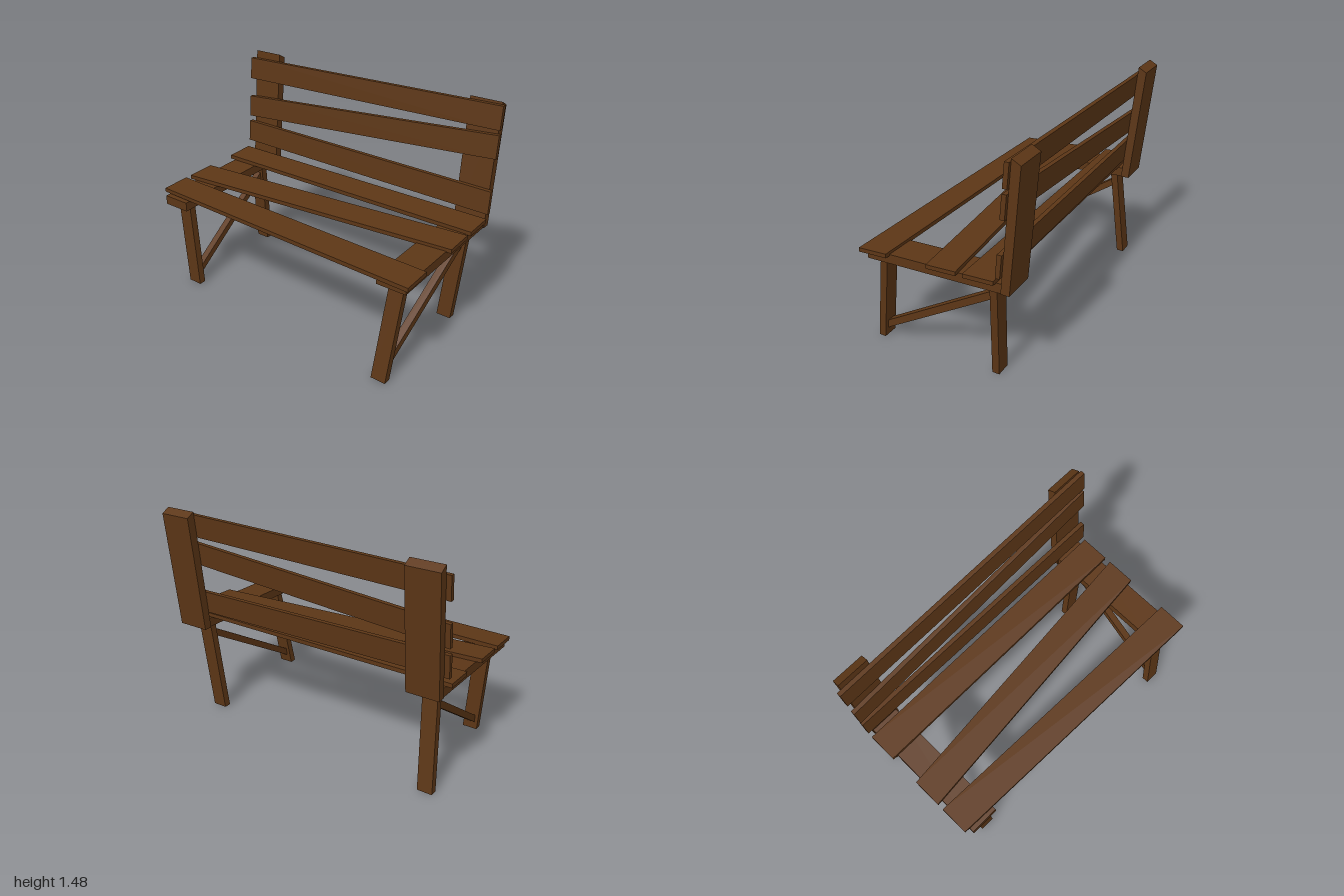
import * as THREE from 'three';

const wood = new THREE.MeshStandardMaterial({ color: 0x5c3616, flatShading: true });

// Straight timber from a to b; u and v are the half-extent vectors of its section,
// vEnd replaces v at the far end when that end is cut at a slant.
function beam(name, a, b, u, v, vEnd = v) {
  const [A, B, U, V, W] = [a, b, u, v, vEnd].map(p => new THREE.Vector3(...p));
  const axis = B.clone().sub(A);
  // keep the frame right-handed so faces point outwards
  if (U.clone().cross(axis).dot(V) < 0) U.negate();
  const geo = new THREE.BoxGeometry(2, 2, 2).toNonIndexed();
  const pos = geo.attributes.position;
  const p = new THREE.Vector3();
  for (let i = 0; i < pos.count; i++) {
    const t = (pos.getY(i) + 1) / 2;
    p.copy(A).addScaledVector(axis, t)
      .addScaledVector(U, pos.getX(i))
      .addScaledVector(t > 0.5 ? W : V, pos.getZ(i));
    pos.setXYZ(i, p.x, p.y, p.z);
  }
  geo.computeVertexNormals();
  const mesh = new THREE.Mesh(geo, wood);
  mesh.name = name;
  return mesh;
}

export function createModel() {
  const bench = new THREE.Group();
  bench.name = 'bench';
  const add = (...args) => bench.add(beam(...args));

  // The two end frames are crooked, each in its own way
  const frames = [
    {
      side: 'left',
      frontLeg: [[0.835, 0, 0.52], [0.875, 0.64, 0.415]],
      backLeg: [[0.81, 0, -0.303], [0.87, 0.67, -0.332]],
      brace: [[0.84, 0.075, 0.505], [0.865, 0.58, -0.32]],
      rail: [[0.87, 0.655, 0.5], [0.87, 0.69, -0.42]],
      post: [[0.868, 0.66, -0.4375], [0.873, 1.46, -0.5125]],
    },
    {
      side: 'right',
      frontLeg: [[-0.813, 0, 0.41], [-0.855, 0.63, 0.412]],
      backLeg: [[-0.89, 0, -0.407], [-0.857, 0.67, -0.332]],
      brace: [[-0.82, 0.065, 0.405], [-0.857, 0.57, -0.33]],
      rail: [[-0.863, 0.637, 0.5], [-0.863, 0.69, -0.42]],
      post: [[-0.86, 0.66, -0.4375], [-0.863, 1.46, -0.5125]],
    },
  ];
  for (const f of frames) {
    add(f.side + 'FrontLeg', ...f.frontLeg, [0.05, 0, 0], [0, 0, 0.024]);
    add(f.side + 'BackLeg', ...f.backLeg, [0.05, 0, 0], [0, 0, 0.024]);
    add(f.side + 'Brace', ...f.brace, [0.024, 0, 0], [0, 0.027, 0]);
    add(f.side + 'SeatRail', ...f.rail, [0.098, 0, 0], [0, 0.031, 0]);
    add(f.side + 'BackPost', ...f.post, [0.107, 0, 0], [0, 0, 0.0275], [0, 0.015, 0.0275]);
  }

  // Seat planks: centre z at the right and left ends, lying on the sloping rails
  const seatY = z => 0.713 - 0.05 * z;
  [[-0.281, -0.281], [0.13, -0.04], [0.37, 0.438]].forEach(([z0, z1], i) =>
    add('seatPlank' + (i + 1), [-1, seatY(z0), z0], [1, seatY(z1), z1],
      [0, -0.005, 0.0985], [0, 0.0135, 0]));

  // Back planks: centre y at the right and left ends, lying on the leaning posts
  const backZ = y => -0.396 - 0.092 * (y - 0.66);
  [[0.87, 0.845], [1.06, 1.205], [1.345, 1.385]].forEach(([y0, y1], i) =>
    add('backPlank' + (i + 1), [-1, y0, backZ(y0)], [1, y1, backZ(y1)],
      [0, 0.075, -0.0069], [0, 0, 0.0145]));

  return bench;
}
